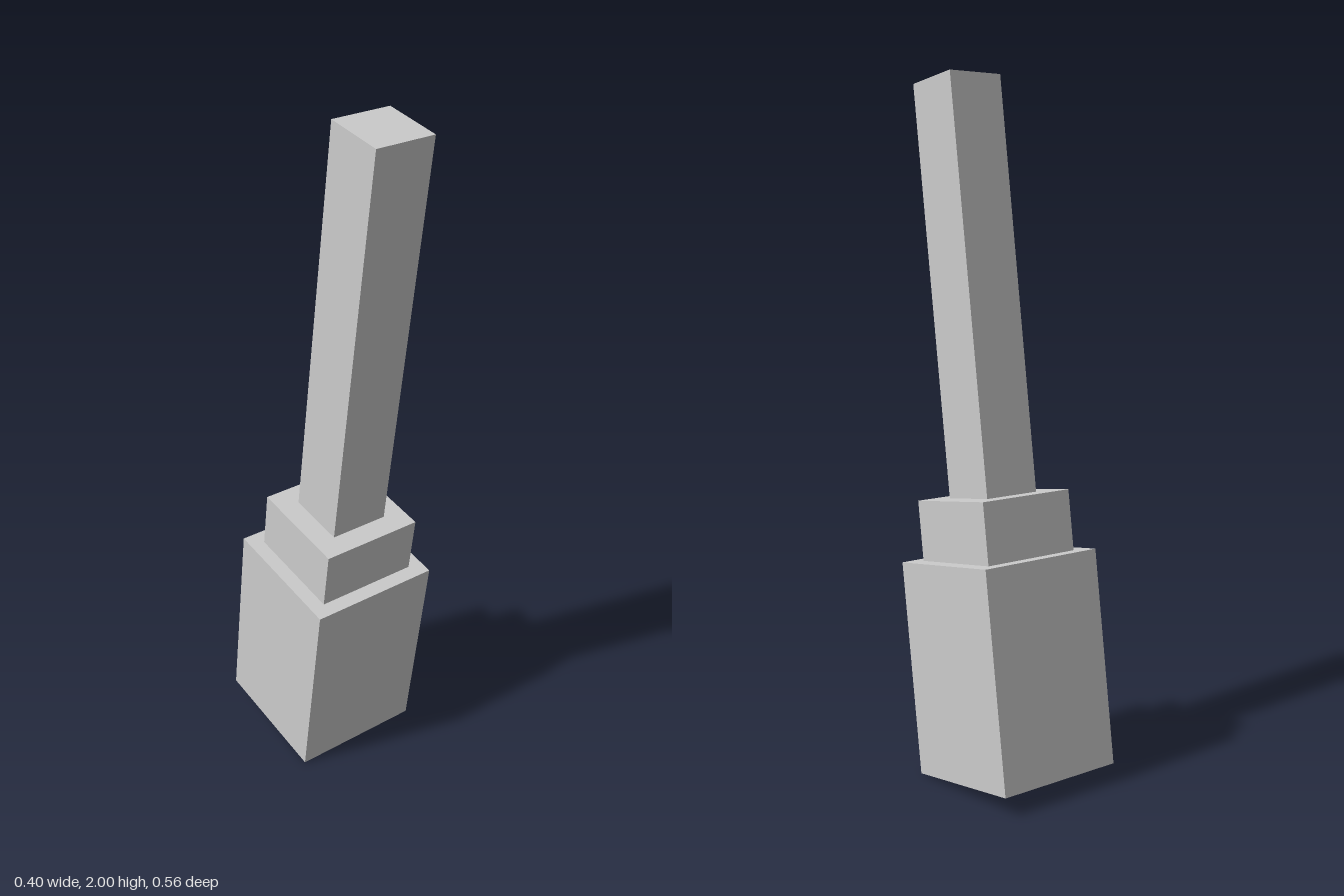
import * as THREE from 'three';

export function createModel() {
  const model = new THREE.Group();
  const material = new THREE.MeshStandardMaterial({ color: 0xcccccc, flatShading: true });

  // Three square blocks stacked along one leaning axis
  const stack = new THREE.Group();
  stack.name = 'leaningStack';
  const blocks = [
    ['baseBlock', 0.396, 0.619],
    ['collar', 0.308, 0.175],
    ['shaft', 0.177, 1.187],
  ];
  let y = 0;
  for (const [name, width, height] of blocks) {
    const block = new THREE.Mesh(new THREE.BoxGeometry(width, height, width), material);
    block.name = name;
    block.position.y = y + height / 2;
    stack.add(block);
    y += height;
  }

  // Lean the top towards the front, resting on the front lower edge
  stack.rotation.x = THREE.MathUtils.degToRad(8);
  stack.position.set(0, 0.0275, -0.083);
  model.add(stack);
  return model;
}
